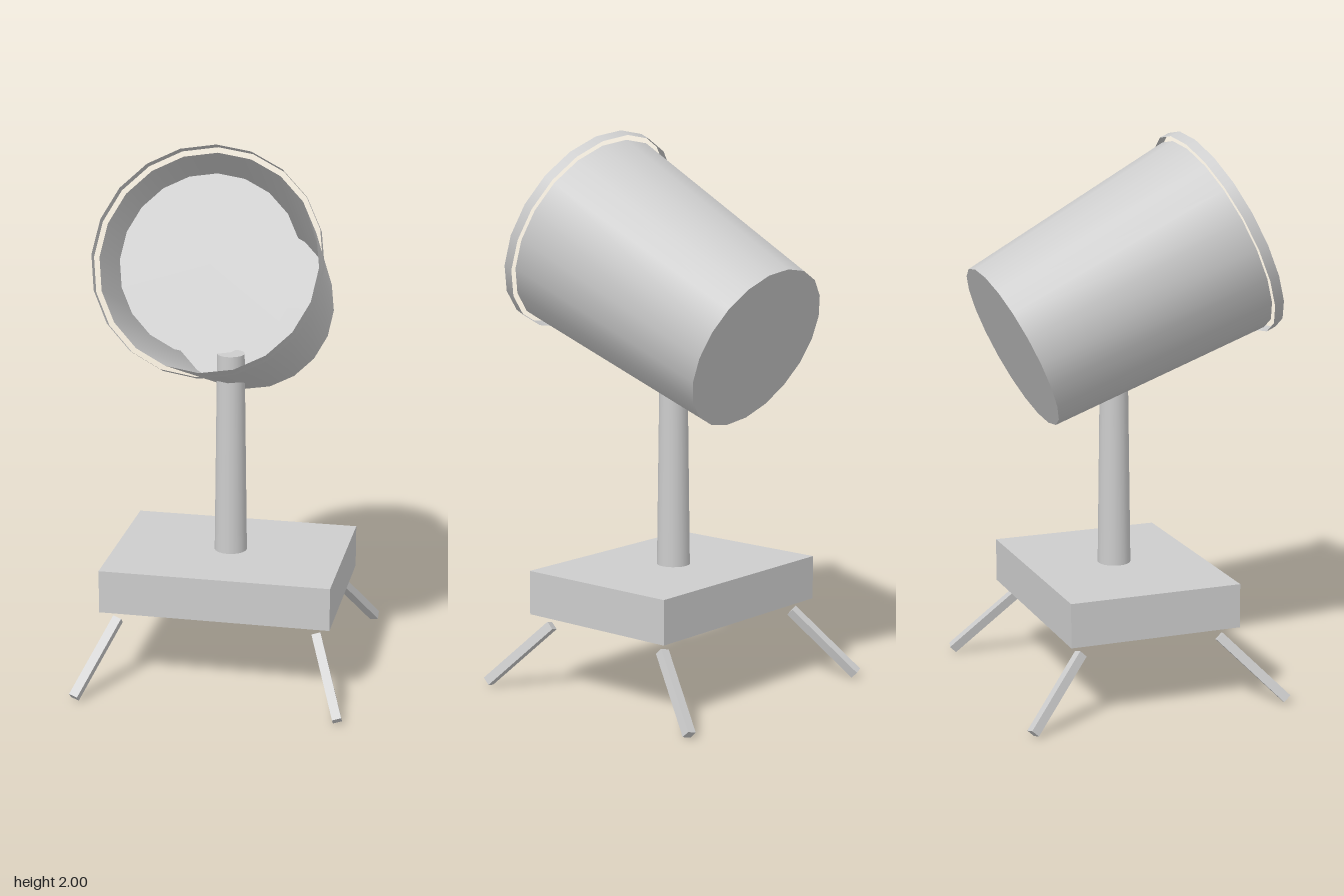
import * as THREE from 'three';

export function createModel() {
  const model = new THREE.Group();
  const grey = new THREE.MeshStandardMaterial({ color: 0xcccccc, side: THREE.DoubleSide });
  grey.name = 'light grey';

  const add = (parent, name, geometry, x, y, z) => {
    const mesh = new THREE.Mesh(geometry, grey);
    mesh.name = name;
    mesh.position.set(x, y, z);
    parent.add(mesh);
    return mesh;
  };

  // Base block and tapered post, whose top ends inside the lamp housing
  add(model, 'base', new THREE.BoxGeometry(0.843, 0.16, 0.634), 0, 0.366, -0.034);
  add(model, 'post', new THREE.CylinderGeometry(0.05, 0.06, 0.75, 20), 0, 0.821, -0.034);

  // Four splayed legs, mirrored in x and z
  for (const sx of [-1, 1]) {
    for (const sz of [-1, 1]) {
      const leg = add(model, 'leg', new THREE.BoxGeometry(0.033, 0.331, 0.033),
        sx * 0.422, 0.13, -0.034 + sz * 0.37);
      leg.rotation.set(-sz * 0.765, 0, sx * 0.345);
    }
  }

  // Tilted lamp head: local y runs from the closed back to the open mouth
  const head = new THREE.Group();
  head.name = 'lampHead';
  head.position.set(0, 1.27, -0.415);
  head.rotation.x = THREE.MathUtils.degToRad(65);
  model.add(head);

  const depth = 0.843;
  add(head, 'housing', new THREE.CylinderGeometry(0.378, 0.313, depth, 20, 1, true), 0, depth / 2, 0);

  // Flat discs: the back of the housing and the lens just inside the mouth
  const disc = (facing) => new THREE.CircleGeometry(0.313, 20)
    .rotateZ(Math.PI / 2).rotateX(facing * Math.PI / 2);
  add(head, 'backPlate', disc(1), 0, 0, 0);
  add(head, 'lens', disc(-1), 0, depth - 0.027, 0);

  // Thin loose ring around the mouth
  add(head, 'rim', new THREE.CylinderGeometry(0.397, 0.397, 0.037, 20, 1, true), 0, depth + 0.019, 0);

  return model;
}
